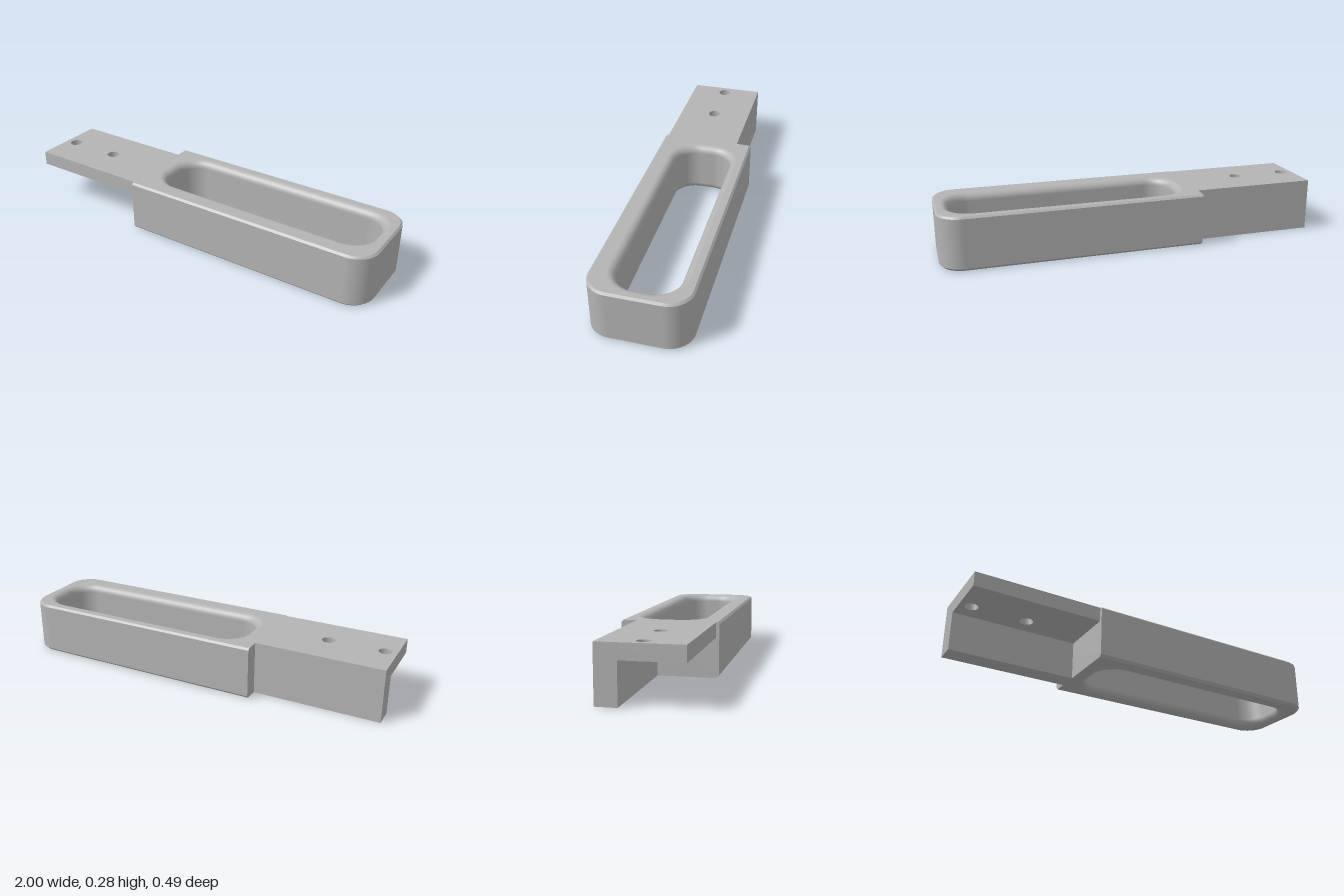
import * as THREE from 'three';

const H = 0.275;             // overall height
const X0 = -0.345;           // where the frame meets the tongue
const ZH = 0.247;            // half width of the frame
const R = 0.12;              // outer corner radius
const RI = 0.115;            // slot corner radius
const F = 0.04;              // slot edge fillet
const TOP = 0.01, BOT = 0.013; // outer chamfers

// Outline = list of arc centres and angles; the radius is applied later.
function arc(cx, cz, from, n = 16) {
  return Array.from({ length: n + 1 }, (_, i) => ({ cx, cz, a: from + (i / n) * Math.PI / 2 }));
}
const Q = Math.PI / 2;
const zc = ZH - R;
const outer = [
  { cx: X0, cz: -zc, a: -Q },
  ...arc(1 - R, -zc, -Q), ...arc(1 - R, zc, 0),
  { cx: X0, cz: zc, a: Q },
];
const [sx0, sx1, sz0, sz1] = [-0.255 + RI, 0.93 - RI, -0.168 + RI, 0.134 - RI];
const slot = [...arc(sx1, sz0, -Q), ...arc(sx1, sz1, 0), ...arc(sx0, sz1, Q), ...arc(sx0, sz0, 2 * Q)];
slot.push(slot[0]);

const at = (p, r) => [p.cx + r * Math.cos(p.a), p.cz + r * Math.sin(p.a)];

// Sweep a profile of [radius, y, radial normal, vertical normal] along an outline.
function loft(outline, profile) {
  const pos = [], nor = [], idx = [], m = profile.length;
  outline.forEach((p, i) => {
    profile.forEach(([r, y, nr, ny], j) => {
      const [x, z] = at(p, r);
      pos.push(x, y, z);
      nor.push(nr * Math.cos(p.a), ny, nr * Math.sin(p.a));
      if (i + 1 < outline.length && j + 1 < m) {
        const a = i * m + j, b = a + 1, c = a + m, d = c + 1;
        idx.push(a, b, c, b, d, c);
      }
    });
  });
  const g = new THREE.BufferGeometry();
  g.setAttribute('position', new THREE.Float32BufferAttribute(pos, 3));
  g.setAttribute('normal', new THREE.Float32BufferAttribute(nor, 3));
  g.setIndex(idx);
  return g;
}

// Flat face of the frame with the slot cut out; dir is +1 for top, -1 for bottom.
function cap(inset, dir) {
  const pts = (o, r) => o.map(p => { const [x, z] = at(p, r); return new THREE.Vector2(x, -dir * z); });
  const s = new THREE.Shape(pts(outer, R - inset));
  s.holes.push(new THREE.Path(pts(slot.slice(0, -1), RI + F)));
  return new THREE.ShapeGeometry(s).rotateX(-dir * Q).translate(0, dir > 0 ? H : 0, 0);
}

export function createModel() {
  const model = new THREE.Group();
  const grey = new THREE.MeshStandardMaterial({ color: 0xb4b4b4 });
  grey.name = 'grey';
  const add = (parent, name, g) => {
    const m = new THREE.Mesh(g, grey);
    m.name = name;
    parent.add(m);
    return m;
  };

  // Frame: outer wall with chamfers above and below
  const frame = new THREE.Group();
  frame.name = 'frame';
  model.add(frame);
  const k = Math.SQRT1_2;
  add(frame, 'bottomChamfer', loft(outer, [[R - BOT, 0, k, -k], [R, BOT, k, -k]]));
  add(frame, 'outerWall', loft(outer, [[R, BOT, 1, 0], [R, H - TOP, 1, 0]]));
  add(frame, 'topChamfer', loft(outer, [[R, H - TOP, k, k], [R - TOP, H, k, k]]));
  add(frame, 'topFace', cap(TOP, 1));
  add(frame, 'bottomFace', cap(BOT, -1));

  // Slot wall, rounded over at both rims, running from top to bottom
  const rim = [];
  for (let i = 0; i <= 8; i++) {
    const a = (i / 8) * Q, s = Math.sin(a), c = Math.cos(a);
    rim.push([RI + F * (1 - s), H - F * (1 - c), -s, c]);
  }
  const lower = rim.map(([r, y, nr, ny]) => [r, H - y, nr, -ny]).reverse();
  add(frame, 'slotWall', loft(slot, [...rim, ...lower]));

  // Square end of the frame, facing the tongue
  const end = new THREE.Shape([
    [-ZH + BOT, 0], [ZH - BOT, 0], [ZH, BOT], [ZH, H - TOP],
    [ZH - TOP, H], [-ZH + TOP, H], [-ZH, H - TOP], [-ZH, BOT],
  ].map(p => new THREE.Vector2(...p)));
  add(frame, 'endFace', new THREE.ShapeGeometry(end).rotateY(-Q).translate(X0, 0, 0));

  // Tongue: drilled plate on top with a web along the back
  const tongue = new THREE.Group();
  tongue.name = 'tongue';
  model.add(tongue);
  const zBack = -0.167, zFront = 0.23, zWeb = -0.063, yPlate = 0.2;
  const plate = new THREE.Shape([
    [-1, -zFront], [X0, -zFront], [X0, -zBack], [-1, -zBack],
  ].map(p => new THREE.Vector2(...p)));
  for (const x of [-0.94, -0.655]) {
    plate.holes.push(new THREE.Path().absarc(x, -0.035, 0.033, 0, Math.PI * 2, true));
  }
  const plateGeo = new THREE.ExtrudeGeometry(plate, { depth: H - yPlate, bevelEnabled: false, curveSegments: 24 });
  add(tongue, 'plate', plateGeo.rotateX(-Q).translate(0, yPlate, 0));
  add(tongue, 'web', new THREE.BoxGeometry(X0 + 1, yPlate, zWeb - zBack)
    .translate((X0 - 1) / 2, yPlate / 2, (zWeb + zBack) / 2));

  return model;
}
